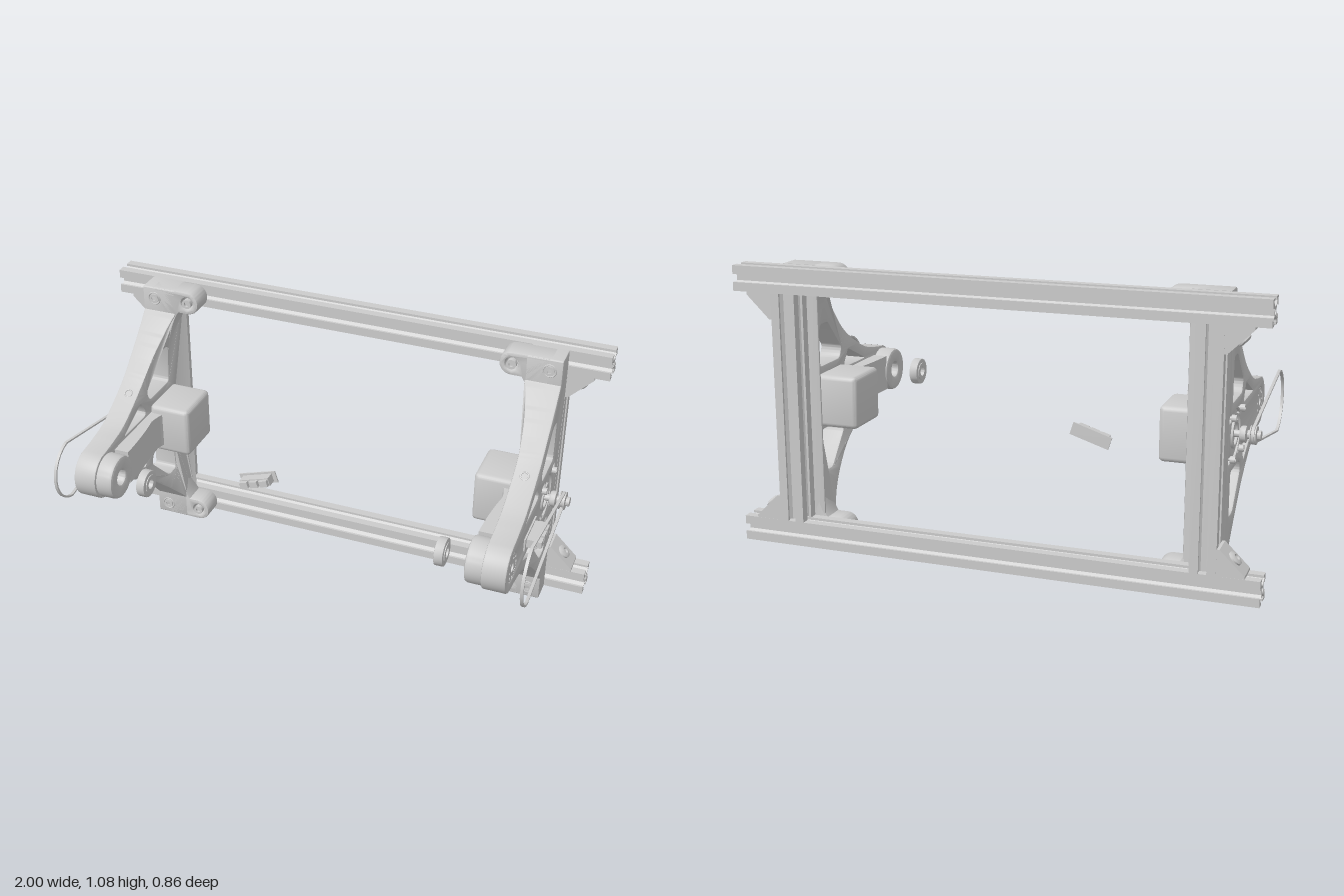
import * as THREE from 'three';
import { toCreasedNormals } from 'three/addons/utils/BufferGeometryUtils.js';
import { RoundedBoxGeometry } from 'three/addons/geometries/RoundedBoxGeometry.js';

const H = 1.075, CY = H / 2;          // overall height and mid height
const RZ = -0.378, HUB = 0.305, MOT = -0.165; // z of frame, hub axis, motor axis
const mat = new THREE.MeshStandardMaterial({ color: 0xcccccc });

const crease = g => toCreasedNormals(g, 0.6);

// Mirrored copy of a non-indexed geometry, with the winding corrected
function mirror(geo, axis, about = 0) {
  const g = geo.clone();
  if (axis === 'x') g.scale(-1, 1, 1);
  else g.scale(1, -1, 1).translate(0, 2 * about, 0);
  for (const key of ['position', 'normal']) {
    const a = g.attributes[key];
    for (let i = 0; i < a.count; i += 3) {
      const p = new THREE.Vector3().fromBufferAttribute(a, i + 1);
      const q = new THREE.Vector3().fromBufferAttribute(a, i + 2);
      a.setXYZ(i + 1, q.x, q.y, q.z);
      a.setXYZ(i + 2, p.x, p.y, p.z);
    }
  }
  return g;
}

function extrude(shape, depth, b = 0, seg = 12) {
  return new THREE.ExtrudeGeometry(shape, {
    depth: depth - 2 * b, bevelEnabled: b > 0, bevelSize: b, bevelThickness: b,
    bevelOffset: -b, bevelSegments: 2, curveSegments: seg
  }).translate(0, 0, b);
}
// Side profile in (-z, y), extruded from x0 to x1
const side = (shape, x0, x1, b, seg) => extrude(shape, x1 - x0, b, seg).rotateY(Math.PI / 2).translate(x0, 0, 0);

// Polygon with rounded corners
function rounded(pts, r, path = new THREE.Path()) {
  const v = pts.map(p => new THREE.Vector2(...p));
  v.forEach((p, i) => {
    const toward = q => p.clone().add(q.clone().sub(p).setLength(r));
    const a = toward(v[(i + v.length - 1) % v.length]), b = toward(v[(i + 1) % v.length]);
    if (i) path.lineTo(a.x, a.y); else path.moveTo(a.x, a.y);
    path.quadraticCurveTo(p.x, p.y, b.x, b.y);
  });
  path.closePath();
  return path;
}
function disc(x, y, r, holes = []) {
  const s = new THREE.Shape().absarc(x, y, r, 0, Math.PI * 2);
  s.holes = holes.map(h => circle(...h));
  return s;
}
const circle = (x, y, r) => new THREE.Path().absarc(x, y, r, 0, Math.PI * 2, true);
const lathe = (pts, seg = 20) => new THREE.LatheGeometry(pts.map(p => new THREE.Vector2(...p)), seg);
// Socket-head bolt standing on y = 0
const bolt = (r, h) => lathe([[0.4 * r, -0.09], [0.4 * r, 0], [r, 0], [r, h], [r * 0.5, h], [r * 0.5, h - 0.01], [0, h - 0.01]]);

// Slotted square profile
function slotProfile() {
  const h = 0.048, s = new THREE.Shape();
  const edge = [[h, -h], [h, -0.015], [0.039, -0.015], [0.039, -0.028], [0.033, -0.028], [0.018, -0.012],
    [0.018, 0.012], [0.033, 0.028], [0.039, 0.028], [0.039, 0.015], [h, 0.015]];
  s.setFromPoints([0, 1, 2, 3].flatMap(k => edge.map(p =>
    new THREE.Vector2(...p).rotateAround(new THREE.Vector2(), k * Math.PI / 2))));
  s.holes.push(circle(0, 0, 0.012));
  return s;
}

// Arm plate: curved triangle with windows, hub bore, motor bore and slots
function armPlate() {
  const V = (u, y) => new THREE.Vector2(u, y);
  const curve = [V(0.18, 0.915), V(0.1, 0.838), V(0, 0.752), V(-0.142, 0.67), V(-0.24, 0.643), V(-0.325, 0.63)];
  const s = new THREE.Shape();
  s.moveTo(0.33, H); s.lineTo(0.245, H); s.quadraticCurveTo(0.235, H, 0.235, H - 0.01);
  s.lineTo(0.235, 0.975);
  s.splineThru(curve);
  s.absarc(-HUB, CY, 0.095, 1.78, 2 * Math.PI - 1.78);
  s.splineThru([...curve.slice(0, -1).reverse().map(p => V(p.x, H - p.y)), V(0.235, 0.1)]);
  s.lineTo(0.235, 0.01); s.quadraticCurveTo(0.235, 0, 0.245, 0); s.lineTo(0.33, 0);
  s.closePath();
  const big = [[0.233, 0.664], [0.233, 0.828], [0.17, 0.828], [0.05, 0.705], [0.068, 0.664]];
  const small = [[-0.15, 0.617], [0.02, 0.617], [0.027, 0.632], [-0.008, 0.684]];
  const flip = pts => pts.map(([u, y]) => [u, H - y]);
  s.holes.push(rounded(big, 0.018), rounded(flip(big), 0.018), rounded(small, 0.008), rounded(flip(small), 0.008));
  s.holes.push(circle(-HUB, CY, 0.055), circle(-MOT, CY, 0.088));
  for (const u of [0.105, 0.257]) for (const dy of [-0.075, 0.075]) {
    const y = CY + dy;
    s.holes.push(rounded([[u - 0.025, y - 0.012], [u + 0.025, y - 0.012], [u + 0.025, y + 0.012], [u - 0.025, y + 0.012]], 0.011));
  }
  const g = side(s, 0.755, 0.845, 0.006);
  // Inner face thickens toward the top and bottom
  const p = g.attributes.position;
  for (let i = 0; i < p.count; i++) if (p.getX(i) < 0.78) {
    const t = Math.max(0, (Math.abs(p.getY(i) - CY) - 0.2) / 0.24);
    p.setX(i, p.getX(i) - 0.05 * Math.min(1, t * t));
  }
  return g;
}

// Drive belt round the hub and the motor pulley
function belt() {
  const loop = d => {
    const R = 0.125 - d, r = 0.034 - d, a = Math.acos((R - r) / (HUB - MOT)), pts = [];
    const arc = (cx, rad, a0, a1, n) => {
      for (let i = 0; i <= n; i++) {
        const t = a0 + (a1 - a0) * i / n;
        pts.push(new THREE.Vector2(cx + rad * Math.cos(t), CY + rad * Math.sin(t)));
      }
    };
    arc(-HUB, R, Math.PI - a, Math.PI + a, 12);
    arc(-MOT, r, a - Math.PI, Math.PI - a, 8);
    return pts;
  };
  const s = new THREE.Shape(loop(0));
  s.holes.push(new THREE.Path(loop(0.007)));
  return side(s, 0.904, 0.915);
}

// Rocker switch: thin faceplate at z = 0, stepped body toward +z
function rockerSwitch(name) {
  const group = new THREE.Group();
  group.name = name;
  const box = (n, w, h, d, x, z) => {
    const m = new THREE.Mesh(new THREE.BoxGeometry(w, h, d).translate(x, 0, z), mat);
    m.name = n; group.add(m);
  };
  box('switchFaceplate', 0.16, 0.05, 0.006, 0, 0);
  box('switchBody', 0.128, 0.034, 0.038, 0, 0.022);
  for (const x of [-0.044, 0, 0.044]) box('switchTab', 0.034, 0.026, 0.02, x, 0.047);
  return group;
}

export function createModel() {
  const model = new THREE.Group();
  model.name = 'frameWithArms';
  const add = (name, geo) => {
    const m = new THREE.Mesh(geo, mat);
    m.name = name; model.add(m);
  };
  const both = (name, geo) => { const g = crease(geo); add(name, g); add(name, mirror(g, 'x')); };
  const four = (name, geo) => {
    const g = crease(geo);
    for (const k of [g, mirror(g, 'y', CY)]) { add(name, k); add(name, mirror(k, 'x')); }
  };

  // Frame rails and posts
  for (const y of [0.049, H - 0.049])
    add('rail', crease(extrude(slotProfile(), 2).rotateY(Math.PI / 2).translate(-1, y, RZ)));
  both('post', extrude(slotProfile(), H - 0.194).rotateX(-Math.PI / 2).translate(0.797, 0.097, RZ));

  // Corner gussets with bolts on the sloped face
  const tri = new THREE.Shape([[0.845, 0.978], [0.845, 0.88], [0.855, 0.88], [0.945, 0.968], [0.945, 0.978]].map(p => new THREE.Vector2(...p)));
  four('gusset', extrude(tri, 0.095).translate(0, 0, RZ - 0.0475));
  four('gussetBolt', lathe([[0.028, -0.02], [0.028, 0.006], [0.018, 0.012], [0.012, 0.012], [0.012, 0.004], [0, 0.004]])
    .rotateZ(-Math.PI * 0.75).translate(0.9, 0.924, RZ));

  // Arms with mounting flanges
  both('armPlate', armPlate());
  const f = new THREE.Shape();
  f.moveTo(0.8, H); f.lineTo(0.655, H);
  f.absarc(0.655, H - 0.047, 0.047, Math.PI / 2, Math.PI * 1.5);
  f.lineTo(0.695, 0.981);
  f.bezierCurveTo(0.715, 0.95, 0.75, 0.87, 0.756, 0.72);
  f.lineTo(0.8, 0.72); f.closePath();
  f.holes.push(circle(0.655, H - 0.047, 0.025));
  four('mountingFlange', extrude(f, 0.095, 0.008).translate(0, 0, -0.33));
  for (const x of [0.655, 0.797])
    four('flangeBolt', bolt(0.019, 0.02).rotateX(Math.PI / 2).translate(x, H - 0.047, -0.25));
  four('flangeBoltRim', new THREE.TorusGeometry(0.024, 0.003, 6, 24).translate(0.797, H - 0.047, -0.235));
  four('wireHoleRim', new THREE.TorusGeometry(0.015, 0.003, 6, 20).rotateX(-0.9).translate(0.797, 0.735, 0.026));

  // Hub boss, bearing plate and loose bearing
  const ring = [...Array(8).keys()].map(i => [-HUB + 0.041 * Math.cos(i * Math.PI / 4), CY + 0.041 * Math.sin(i * Math.PI / 4), 0.006]);
  both('hubBoss', side(disc(-HUB, CY, 0.086, [[-HUB, CY, 0.03]]), 0.69, 0.765, 0.012, 24));
  both('hubPlate', side(disc(-HUB, CY, 0.053, [[-HUB, CY, 0.018], ...ring]), 0.765, 0.843, 0, 20));
  both('bearing', side(disc(-HUB, CY, 0.053, [[-HUB, CY, 0.02]]), 0.57, 0.604, 0.004, 16));
  both('bearingRace', side(disc(-HUB, CY, 0.036, [[-HUB, CY, 0.019]]), 0.567, 0.607, 0, 16));

  // Inner rib joining the hub to the motor
  const rib = new THREE.Shape();
  rib.moveTo(0.765, -0.235); rib.lineTo(0.697, -0.235);
  rib.quadraticCurveTo(0.7, -0.1, 0.718, 0);
  rib.quadraticCurveTo(0.715, 0.04, 0.7, 0.07);
  rib.lineTo(0.765, 0.07); rib.closePath();
  both('armRib', extrude(rib, 0.14).rotateX(-Math.PI / 2).translate(0, CY - 0.07, 0));

  // Motor, its face, bolts and pulley
  both('motor', new RoundedBoxGeometry(0.168, 0.205, 0.205, 2, 0.018).translate(0.674, CY, MOT));
  both('motorFace', side(disc(-MOT, CY, 0.088), 0.755, 0.836, 0, 20));
  both('motorCollar', side(disc(-MOT, CY, 0.055, [[-MOT, CY, 0.04]]), 0.83, 0.846, 0.003, 8));
  for (const dz of [-0.075, 0.075])
    four('motorBolt', bolt(0.013, 0.018).rotateZ(-Math.PI / 2).translate(0.844, CY + 0.075, MOT + dz));
  both('pulley', lathe([[0.013, 0.83], [0.013, 0.862], [0.026, 0.862], [0.03, 0.868], [0.03, 0.884], [0.016, 0.888], [0.016, 0.896],
    [0.034, 0.898], [0.034, 0.902], [0.026, 0.903], [0.026, 0.916], [0.034, 0.917], [0.034, 0.921], [0.018, 0.923], [0.018, 0.936], [0, 0.936]])
    .rotateZ(-Math.PI / 2).translate(0, CY, MOT));
  both('belt', belt());

  // Switches: one on the left arm, one loose in the middle
  const armSwitch = rockerSwitch('armSwitch');
  armSwitch.rotation.y = Math.PI / 2;
  armSwitch.position.set(0.849, CY, 0.085);
  const looseSwitch = rockerSwitch('looseSwitch');
  looseSwitch.rotation.z = 0.31;
  looseSwitch.position.set(-0.27, 0.433, -0.029);
  model.add(armSwitch, looseSwitch);
  return model;
}
